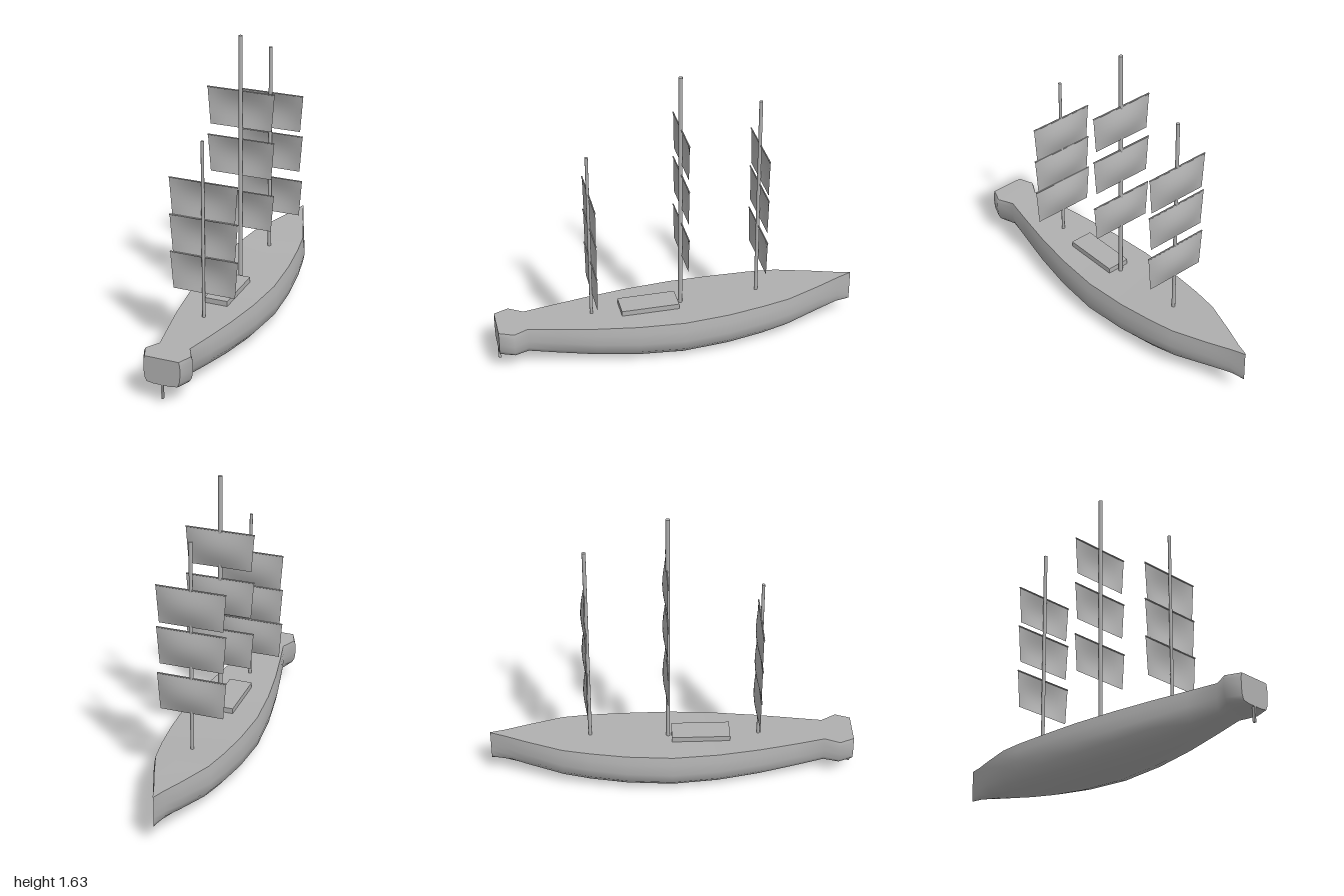
import * as THREE from 'three';

const grey = new THREE.MeshStandardMaterial({ color: 0xb0b0b0 });
grey.name = 'plain grey';
const greySheet = grey.clone();
greySheet.name = 'plain grey';
greySheet.side = THREE.DoubleSide;

// Hull stations from bow to stern: z, half width, keel height, deck height
const stations = [
  [-1, 0.002, 0.11, 0.285], [-0.92, 0.03, 0.104, 0.28], [-0.8, 0.082, 0.083, 0.274],
  [-0.6, 0.16, 0.052, 0.265], [-0.45, 0.188, 0.03, 0.258], [-0.25, 0.212, 0.01, 0.247],
  [0, 0.224, 0, 0.24], [0.25, 0.204, 0.009, 0.24], [0.48, 0.168, 0.03, 0.243],
  [0.68, 0.126, 0.062, 0.247], [0.84, 0.09, 0.093, 0.252], [0.92, 0.135, 0.108, 0.256],
  [1, 0.1, 0.11, 0.257],
];
// Half section from deck edge to keel: share of half width, share of height
const roundSection = [[0.92, 1], [0.97, 0.8], [1, 0.54], [0.94, 0.3], [0.76, 0.12], [0.45, 0.03], [0, 0]];
const boxSection = [[0.93, 1], [0.99, 0.85], [1, 0.5], [0.95, 0.2], [0.85, 0.04], [0.45, 0], [0, 0]];

function section([z, w, keel, deck]) {
  const t = THREE.MathUtils.clamp((z - 0.6) / 0.32, 0, 1);
  const half = roundSection.map(([a, b], i) => new THREE.Vector3(
    w * THREE.MathUtils.lerp(a, boxSection[i][0], t),
    keel + (deck - keel) * THREE.MathUtils.lerp(b, boxSection[i][1], t), z));
  const other = half.slice(0, -1).reverse().map(p => new THREE.Vector3(-p.x, p.y, p.z));
  return [...half, ...other];
}

// Smooth surface through rows of equal length
function loft(rows) {
  const n = rows[0].length, index = [];
  for (let i = 0; i < rows.length - 1; i++) {
    for (let j = 0; j < n - 1; j++) {
      const a = i * n + j, b = a + n;
      index.push(a, b, a + 1, b, b + 1, a + 1);
    }
  }
  const geo = new THREE.BufferGeometry().setFromPoints(rows.flat());
  geo.setIndex(index);
  geo.computeVertexNormals();
  return geo;
}

function add(parent, name, geo, x = 0, y = 0, z = 0, material = grey) {
  const mesh = new THREE.Mesh(geo, material);
  mesh.name = name;
  mesh.position.set(x, y, z);
  parent.add(mesh);
  return mesh;
}

// Square sail, narrower at the foot, bellied towards the bow
function sailGeometry() {
  const geo = new THREE.PlaneGeometry(2, 1, 12, 8);
  const p = geo.attributes.position;
  for (let i = 0; i < p.count; i++) {
    const u = p.getX(i), v = 0.5 - p.getY(i);
    p.setXYZ(i, u * (0.19 - 0.016 * v), -0.21 * v,
      -0.024 * (1 - u * u) * Math.sin(Math.PI * v));
  }
  geo.computeVertexNormals();
  return geo;
}

export function createModel() {
  const ship = new THREE.Group();
  ship.name = 'sailingShip';

  // Hull, deck and stern board
  const rings = stations.map(section);
  add(ship, 'hull', loft(rings));
  add(ship, 'deck', loft(rings.map(r => [r[r.length - 1], r[0]])));
  const stern = new THREE.Shape(rings[rings.length - 1].map(p => new THREE.Vector2(p.x, p.y)));
  add(ship, 'sternBoard', new THREE.ShapeGeometry(stern), 0, 0, 1);

  add(ship, 'deckHatch', new THREE.BoxGeometry(0.13, 0.04, 0.32), 0, 0.25, 0.16);
  add(ship, 'rudder', new THREE.BoxGeometry(0.01, 0.1, 0.014), 0, 0.08, 0.992);

  // Masts with three sails each: name, z, top, radius, sail heads
  const masts = [
    ['foreMast', -0.45, 1.44, 0.01, [1.18, 0.945, 0.68]],
    ['mainMast', -0.02, 1.63, 0.0115, [1.33, 1.06, 0.76]],
    ['rearMast', 0.478, 1.225, 0.0085, [1.003, 0.797, 0.587]],
  ];
  const sail = sailGeometry();
  const yard = new THREE.CylinderGeometry(0.004, 0.004, 0.38, 8).rotateZ(Math.PI / 2);
  for (const [name, z, top, r, heads] of masts) {
    const mast = new THREE.Group();
    mast.name = name;
    mast.position.z = z;
    const foot = 0.22;
    add(mast, 'pole', new THREE.CylinderGeometry(r, r, top - foot, 12), 0, (top + foot) / 2, 0);
    for (const head of heads) {
      add(mast, 'sail', sail, 0, head, -0.005, greySheet);
      add(mast, 'yard', yard, 0, head - 0.003, -0.004);
    }
    ship.add(mast);
  }
  return ship;
}
